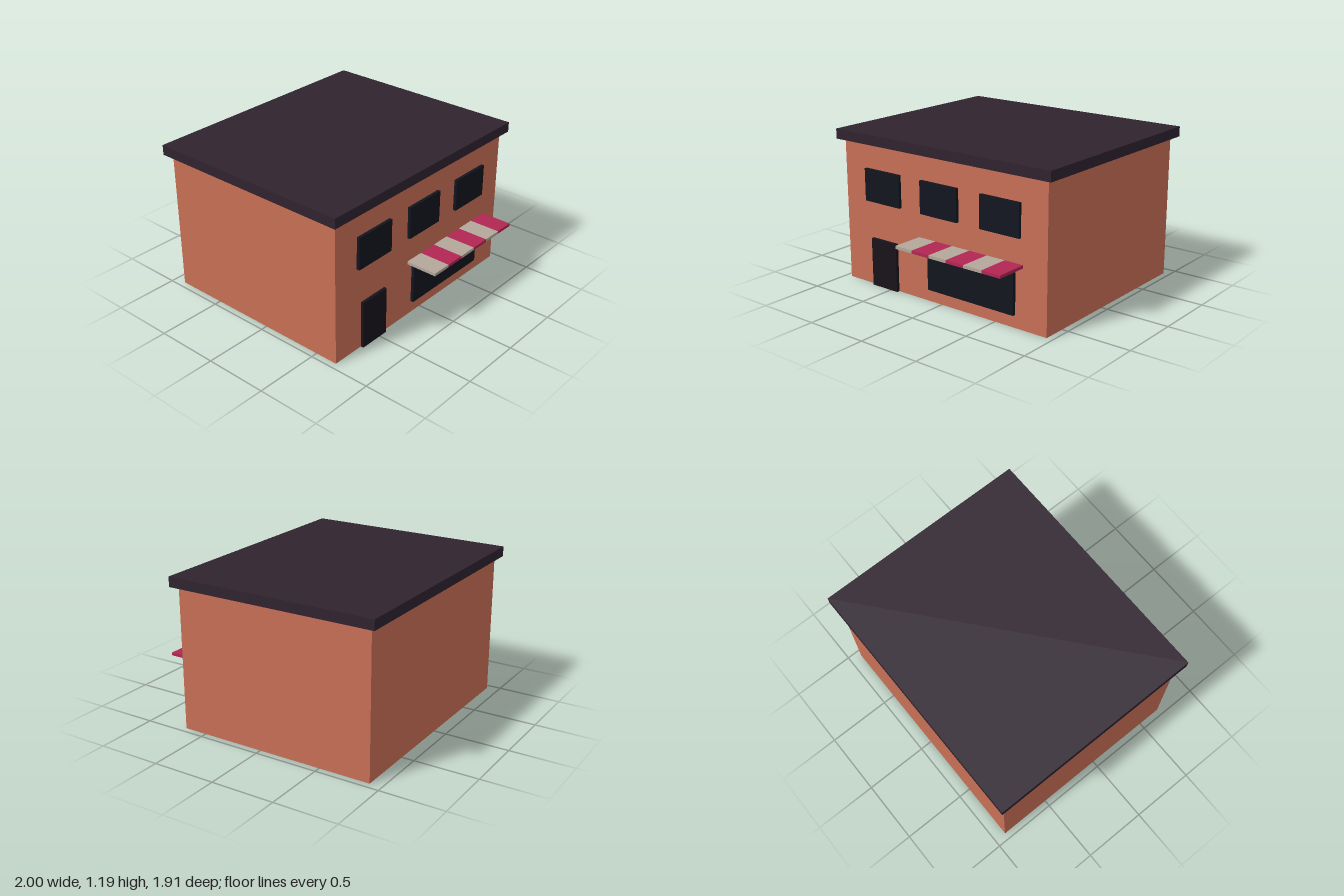
import * as THREE from 'three';

const paint = (color) => {
  const material = new THREE.MeshStandardMaterial();
  material.color.set(color);
  return material;
};

export function createModel() {
  const model = new THREE.Group();
  model.name = 'shopBuilding';

  const brick = paint(0xc76f55);
  const slate = paint(0x30232f);
  const glass = paint(0x12151f);
  const doorPaint = paint(0x17131a);
  const cream = paint(0xb3a799);
  const crimson = paint(0xb22653);

  // Box given by its lower and upper limits on each axis
  const block = (name, material, [x0, x1], [y0, y1], [z0, z1], parent = model) => {
    const mesh = new THREE.Mesh(new THREE.BoxGeometry(x1 - x0, y1 - y0, z1 - z0), material);
    mesh.position.set((x0 + x1) / 2, (y0 + y1) / 2, (z0 + z1) / 2);
    mesh.name = name;
    parent.add(mesh);
  };

  // Walls and overhanging flat roof
  block('walls', brick, [-0.95, 0.95], [0, 1.115], [-0.905, 0.683]);
  block('roof', slate, [-1, 1], [1.115, 1.193], [-0.953, 0.729]);

  // Door and shop window, standing slightly proud of the front wall
  const proud = [0.67, 0.707];
  block('door', doorPaint, [-0.683, -0.43], [0, 0.38], proud);
  block('shopWindow', glass, [-0.113, 0.68], [0.098, 0.413], proud);

  // Row of upper windows
  for (let i = 0; i < 3; i++) {
    const x = -0.557 + i * 0.555;
    block(`upperWindow${i + 1}`, glass, [x - 0.174, x + 0.174], [0.67, 0.922], proud);
  }

  // Striped awning
  const awning = new THREE.Group();
  awning.name = 'awning';
  model.add(awning);
  const stripe = 0.1587;
  for (let i = 0; i < 6; i++) {
    const x = -0.192 + i * stripe;
    block(`awningStripe${i + 1}`, i % 2 ? crimson : cream, [x, x + stripe], [0.466, 0.489], [0.703, 0.953], awning);
  }

  return model;
}
